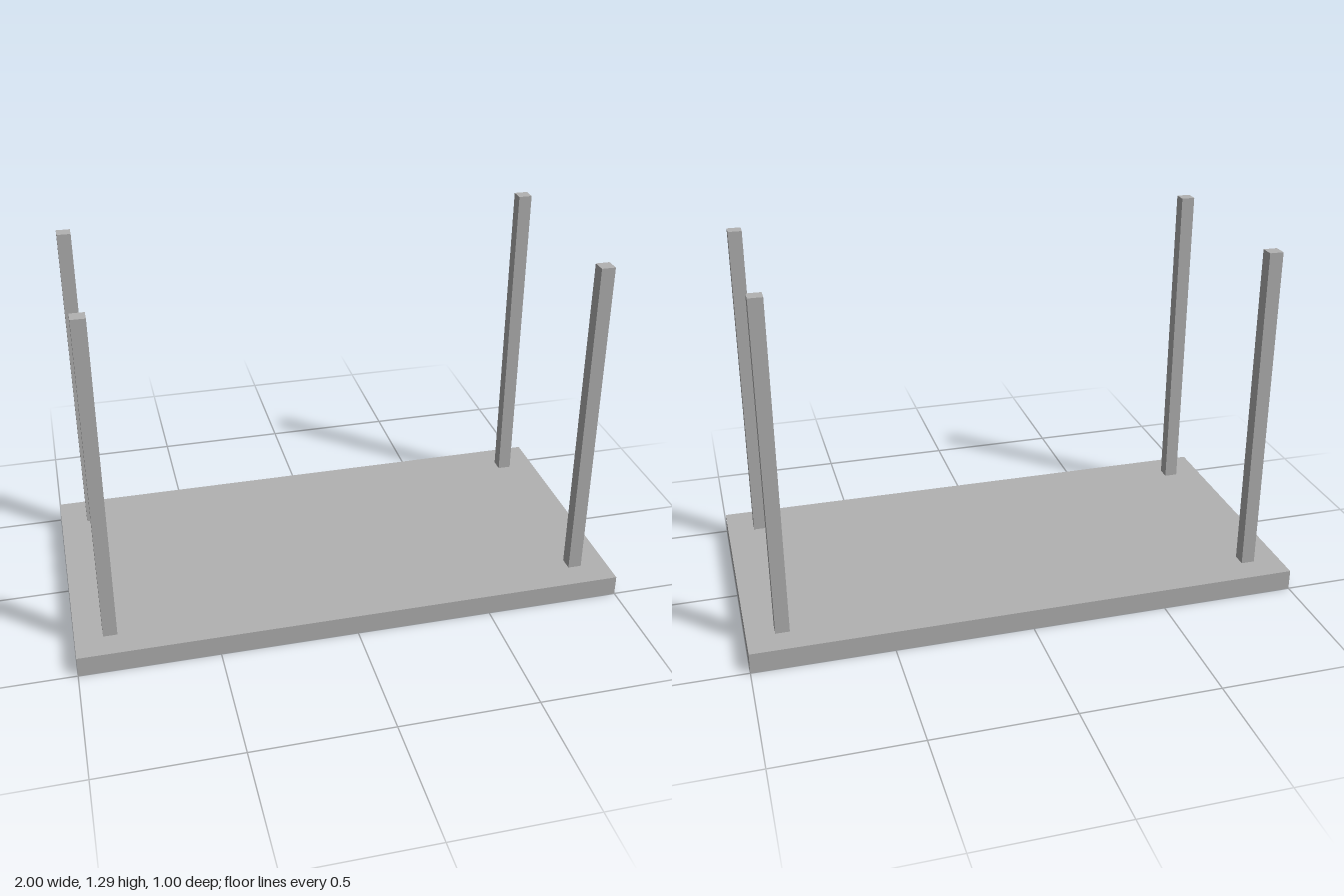
import * as THREE from 'three';

export function createModel() {
  const group = new THREE.Group();
  const grey = new THREE.MeshStandardMaterial({ color: 0xb2b2b2 });
  grey.name = 'plain grey';

  const slabHeight = 0.075, totalHeight = 1.29, inset = 0.05;

  // Flat rectangular slab resting on the ground
  const slab = new THREE.Mesh(new THREE.BoxGeometry(2, slabHeight, 1), grey);
  slab.name = 'tableTop';
  slab.position.y = slabHeight / 2;
  group.add(slab);

  // Four square legs standing up near the corners
  const legLength = totalHeight - slabHeight;
  const legGeometry = new THREE.BoxGeometry(inset, legLength, inset);
  for (const [side, sx] of [['Left', 1], ['Right', -1]]) {
    for (const [end, sz] of [['front', 1], ['back', -1]]) {
      const leg = new THREE.Mesh(legGeometry, grey);
      leg.name = `${end}${side}Leg`;
      leg.position.set(sx * 0.875, slabHeight + legLength / 2, sz * 0.375);
      group.add(leg);
    }
  }
  return group;
}
